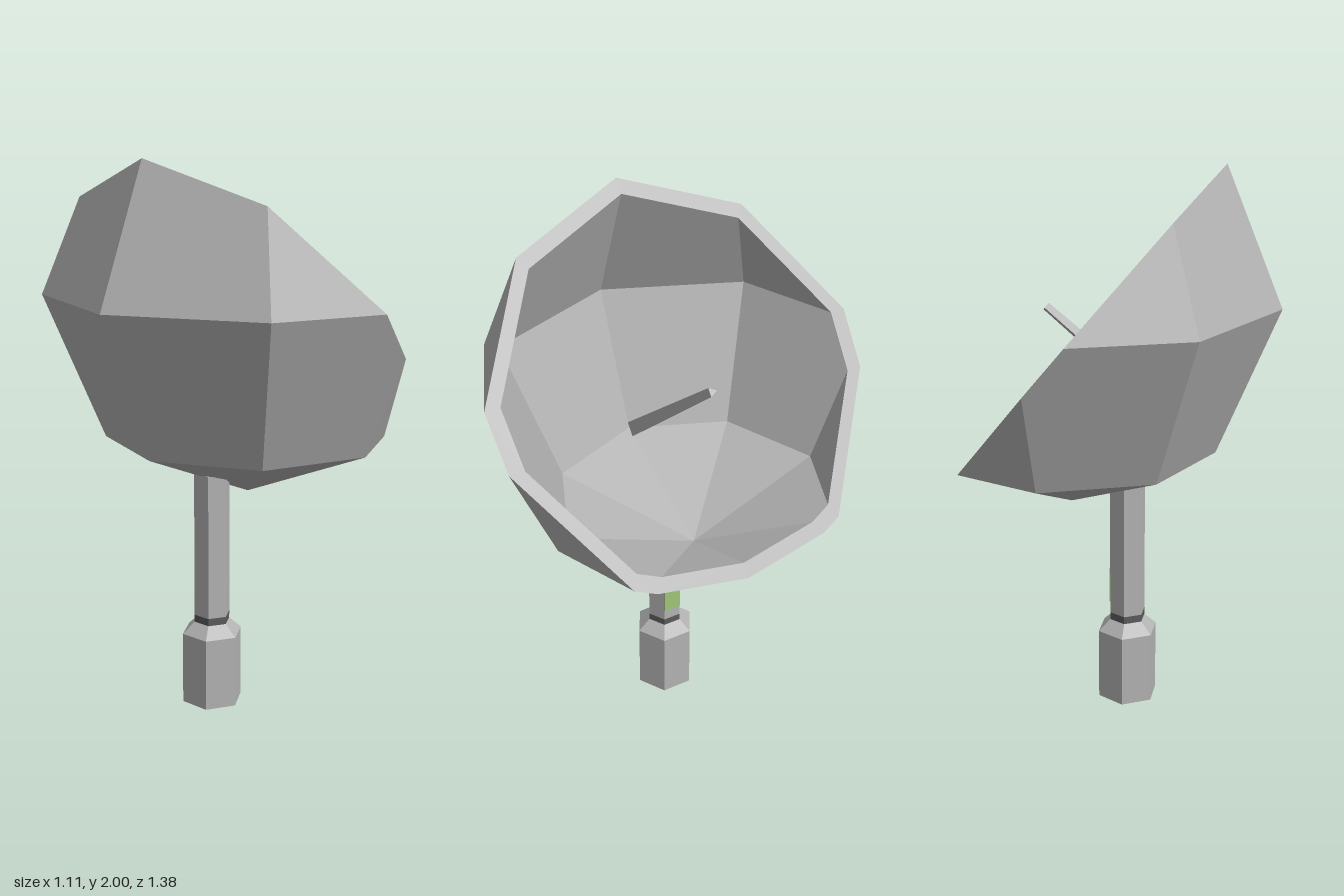
import * as THREE from 'three';

const mat = (name, color, side = THREE.FrontSide) =>
  Object.assign(new THREE.MeshStandardMaterial({ color, flatShading: true, side }), { name });

// Plane of the dish opening, and the centre of the faceted bowl
const tilt = THREE.MathUtils.degToRad(40);
const normal = new THREE.Vector3(Math.cos(tilt), Math.sin(tilt), 0);
const plane = new THREE.Plane(normal, -1.012);
const centre = new THREE.Vector3(0.19, 1.512, 0);

function spherePoint(r, i, j) {
  const a = (i * Math.PI) / 4, t = (j * Math.PI) / 4;
  return new THREE.Vector3(Math.sin(t) * Math.cos(a), Math.cos(t), Math.sin(t) * Math.sin(a))
    .multiplyScalar(r).add(centre);
}

// Keep the part of a polygon behind the opening plane; new corners go into cuts
function clip(poly, cuts) {
  const out = [];
  poly.forEach((p, k) => {
    const q = poly[(k + 1) % poly.length];
    const dp = plane.distanceToPoint(p), dq = plane.distanceToPoint(q);
    if (dp <= 0) out.push(p);
    if (dp * dq < 0) {
      const c = p.clone().lerp(q, dp / (dp - dq));
      out.push(c);
      cuts.push(c);
    }
  });
  return out;
}

// Faceted sphere (8 around, 4 high) cut off at the opening plane
function bowl(r, inward) {
  const pos = [], cuts = [];
  for (let i = 0; i < 8; i++) for (let j = 0; j < 4; j++) {
    const poly = [spherePoint(r, i, j), spherePoint(r, i, j + 1)];
    if (j < 3) poly.push(spherePoint(r, i + 1, j + 1));
    if (j > 0) poly.push(spherePoint(r, i + 1, j));
    if (!inward) poly.reverse();
    const kept = clip(poly, cuts);
    for (let k = 1; k + 1 < kept.length; k++)
      for (const p of [kept[0], kept[k], kept[k + 1]]) pos.push(p.x, p.y, p.z);
  }
  const geometry = new THREE.BufferGeometry();
  geometry.setAttribute('position', new THREE.Float32BufferAttribute(pos, 3));
  geometry.computeVertexNormals();
  return { geometry, cuts };
}

export function createModel() {
  const group = new THREE.Group();
  const grey = mat('light grey metal', 0xb4b4b4);
  const dark = mat('dark grey collar', 0x5c5c5c);
  const green = mat('green label', 0xa0c878);
  const add = (name, geometry, material, x = 0, y = 0, z = 0) => {
    const mesh = new THREE.Mesh(geometry, material);
    mesh.name = name;
    mesh.position.set(x, y, z);
    group.add(mesh);
    return mesh;
  };

  // Dish shells
  const outer = bowl(0.745, false), inner = bowl(0.69, true);
  add('dishOuter', outer.geometry, grey);
  add('dishInner', inner.geometry, grey);

  // Flat rim joining the two shells
  const u = new THREE.Vector3(0, 0, 1), v = normal.clone().cross(u);
  const origin = plane.projectPoint(centre, new THREE.Vector3());
  const loop = (cuts) => cuts
    .map((p) => p.clone().sub(origin))
    .map((p) => new THREE.Vector2(p.dot(u), p.dot(v)))
    .sort((a, b) => Math.atan2(a.y, a.x) - Math.atan2(b.y, b.x))
    .filter((p, k, all) => p.distanceTo(all[(k + 1) % all.length]) > 1e-4);
  const rim = new THREE.Shape(loop(outer.cuts));
  rim.holes.push(new THREE.Path(loop(inner.cuts)));
  const basis = new THREE.Matrix4().makeBasis(u, v, normal).setPosition(origin);
  add('dishRim', new THREE.ShapeGeometry(rim).applyMatrix4(basis), grey);

  // Three-sided tapering feed rod
  const rod = add('feedRod', new THREE.CylinderGeometry(0.018, 0.032, 0.72, 3, 1, false, Math.PI),
    grey, -0.003, 1.261, -0.011);
  rod.rotation.z = tilt - Math.PI / 2;

  // Six-sided mast, from the ground up
  const px = -0.018, pz = 0.004;
  const hex = (name, material, rTop, rBottom, y0, y1, open = false) =>
    add(name, new THREE.CylinderGeometry(rTop, rBottom, y1 - y0, 6, 1, open), material, px, (y0 + y1) / 2, pz);
  hex('base', grey, 0.114, 0.114, 0, 0.27);
  hex('baseTaper', grey, 0.068, 0.114, 0.27, 0.312, true);
  hex('collar', dark, 0.068, 0.068, 0.312, 0.34, true);
  hex('mast', grey, 0.068, 0.068, 0.34, 0.88);

  // Thin label on the mast's +x face
  add('label', new THREE.BoxGeometry(0.004, 0.135, 0.066), green, px + 0.0595, 0.452, pz);
  return group;
}
